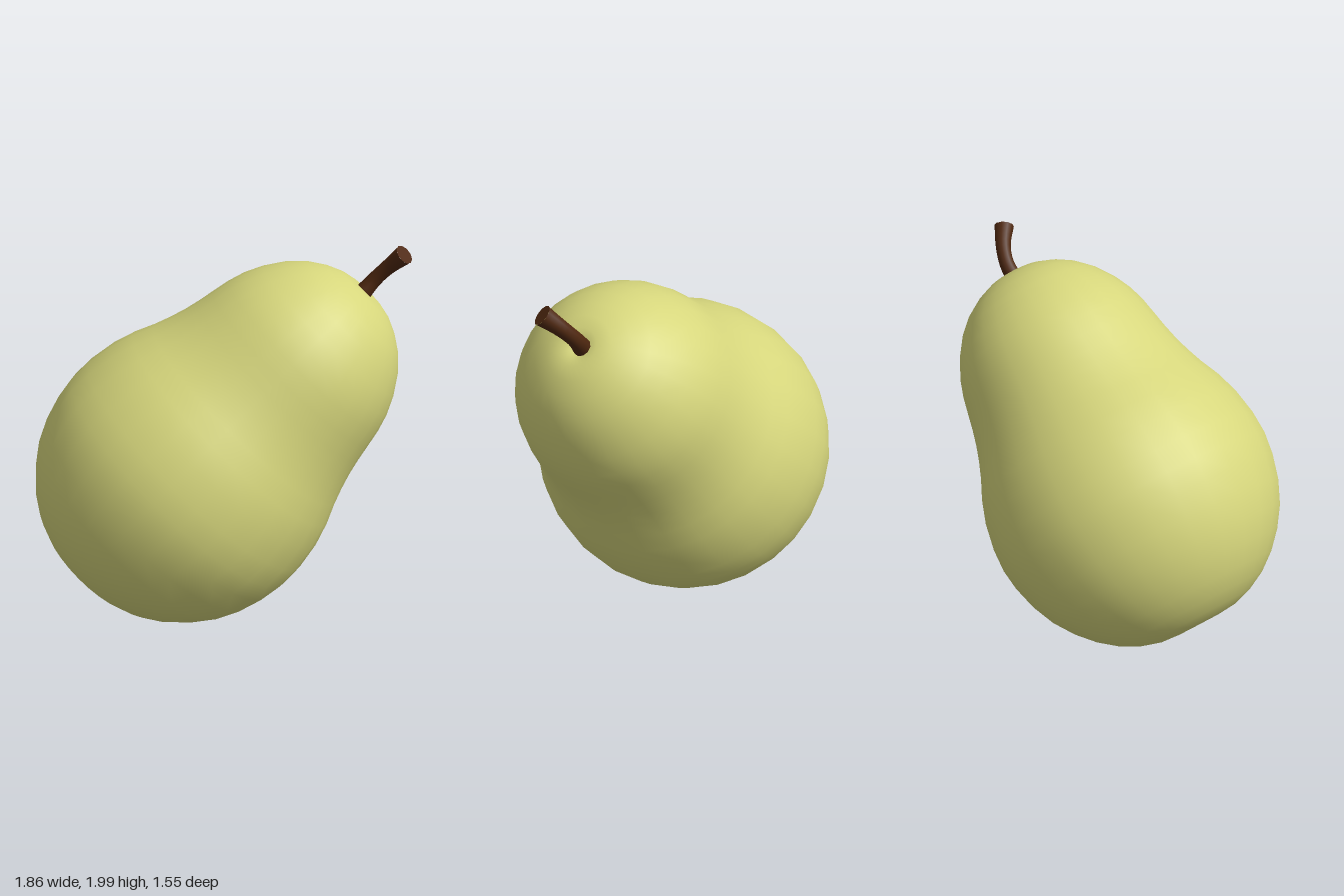
import * as THREE from 'three';

const SKIN = 0xd6d67c, BARK = 0x4f2810;

// Lathe profile: [radius, height along the fruit's axis], from the blossom end to the stem end
const PROFILE = [
  [0, -0.71], [0.09, -0.735], [0.25, -0.72], [0.42, -0.645], [0.57, -0.515], [0.69, -0.34],
  [0.76, -0.13], [0.775, 0.06], [0.735, 0.29], [0.66, 0.47], [0.61, 0.61], [0.575, 0.75],
  [0.545, 0.9], [0.49, 1.05], [0.38, 1.21], [0.25, 1.31], [0.12, 1.36], [0.04, 1.35], [0, 1.33],
];

function createBody() {
  const curve = new THREE.SplineCurve(PROFILE.map(([r, h]) => new THREE.Vector2(r, h)));
  const points = curve.getPoints(30);
  points.forEach((p) => { p.x = Math.max(p.x, 0); });
  const body = new THREE.Mesh(
    new THREE.LatheGeometry(points, 28),
    new THREE.MeshStandardMaterial({ color: SKIN }),
  );
  body.name = 'fruitBody';
  // Lean the fruit over its round base
  const axis = new THREE.Vector3(0.665, 0.715, 0.215).normalize();
  body.quaternion.setFromUnitVectors(new THREE.Vector3(0, 1, 0), axis);
  body.position.set(-0.163, 0.78, 0);
  return body;
}

function createStem() {
  const stem = new THREE.Group();
  stem.name = 'stem';
  const material = new THREE.MeshStandardMaterial({ color: BARK });
  const path = new THREE.CatmullRomCurve3([
    new THREE.Vector3(0.725, 1.74, 0.268),
    new THREE.Vector3(0.785, 1.81, 0.283),
    new THREE.Vector3(0.838, 1.885, 0.33),
    new THREE.Vector3(0.882, 1.965, 0.408),
  ]);
  const rings = 10, sides = 10;
  const radiusAt = (t) => 0.039 + 0.045 * (t - 0.45) ** 2;

  // Bent stalk, slightly thicker at both ends
  const geometry = new THREE.TubeGeometry(path, rings, 1, sides);
  const pos = geometry.attributes.position, v = new THREE.Vector3();
  for (let i = 0; i < pos.count; i++) {
    const t = Math.floor(i / (sides + 1)) / rings;
    const centre = path.getPointAt(t);
    v.fromBufferAttribute(pos, i).sub(centre).multiplyScalar(radiusAt(t)).add(centre);
    pos.setXYZ(i, v.x, v.y, v.z);
  }
  const stalk = new THREE.Mesh(geometry, material);
  stalk.name = 'stalk';
  stem.add(stalk);

  // Closed ends
  for (const t of [0, 1]) {
    const cap = new THREE.Mesh(new THREE.CircleGeometry(radiusAt(t), sides), material);
    cap.name = t ? 'stalkTip' : 'stalkFoot';
    cap.position.copy(path.getPointAt(t));
    cap.quaternion.setFromUnitVectors(
      new THREE.Vector3(0, 0, 1),
      path.getTangentAt(t).multiplyScalar(t ? 1 : -1),
    );
    stem.add(cap);
  }
  return stem;
}

export function createModel() {
  const model = new THREE.Group();
  model.name = 'pear';
  model.add(createBody(), createStem());
  return model;
}
